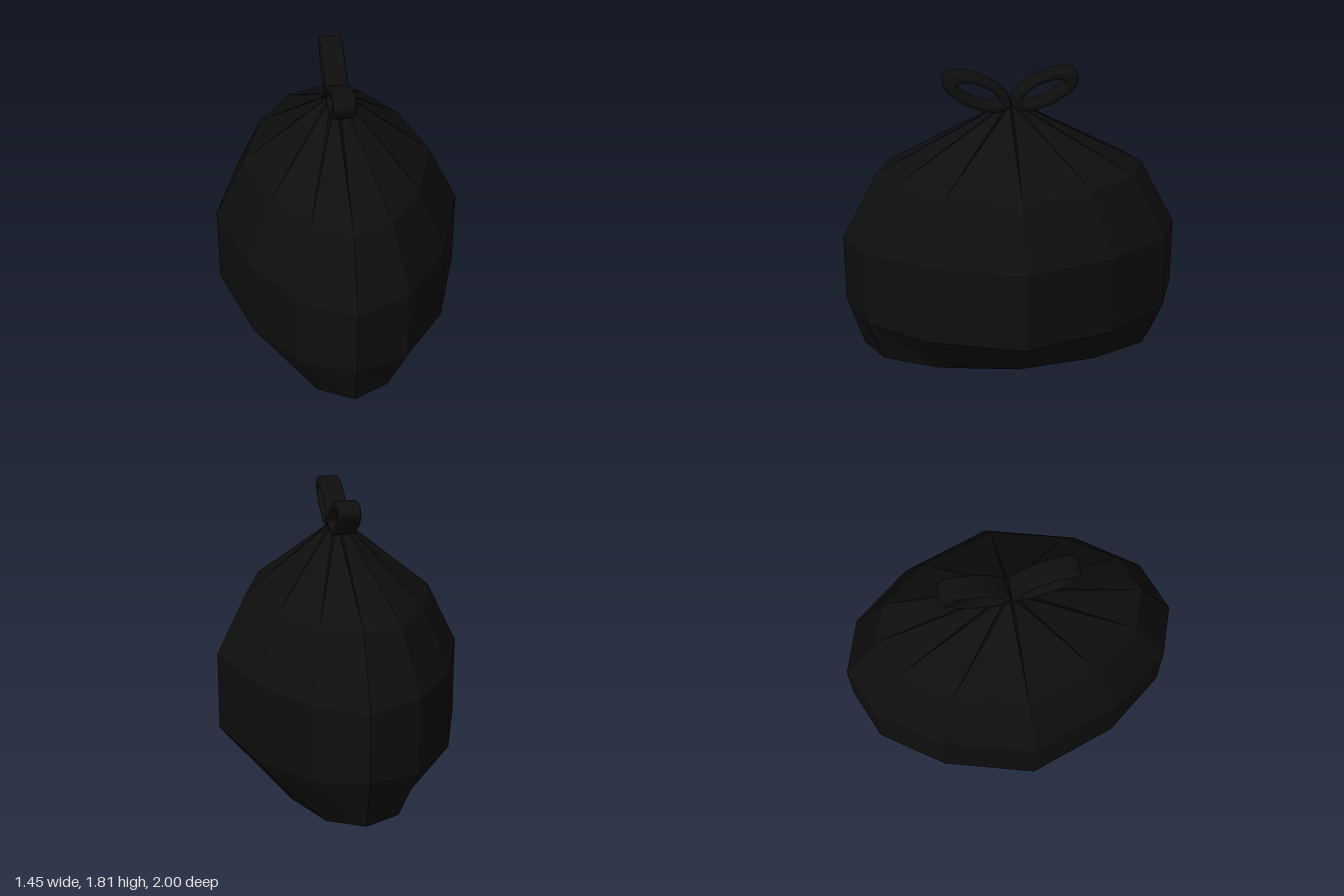
import * as THREE from 'three';

// One quarter of the twelve-sided plan, from the side (+x) to the front (+z)
const PLAN = [[0.725, 0], [0.56, 0.53], [0.3, 0.885], [0, 1]];

// Mirror a quarter of four points [x, y, z] into a closed ring of twelve
function mirrorRing(q) {
  const at = (i, sx, sz) => new THREE.Vector3(q[i][0] * sx, q[i][1], q[i][2] * sz);
  return [
    at(0, 1, 1), at(1, 1, 1), at(2, 1, 1), at(3, 1, 1),
    at(2, -1, 1), at(1, -1, 1), at(0, -1, 1), at(1, -1, -1),
    at(2, -1, -1), at(3, 1, -1), at(2, 1, -1), at(1, 1, -1),
  ];
}

// Every corner is tripled so a crease can open at the neck
const triple = (ring) => ring.flatMap((p) => [p, p, p]);

// Neck ring: each corner becomes a narrow inward fold
function neckRing() {
  const ring = [];
  for (let k = 0; k < 12; k++) {
    for (const [d, r] of [[-0.15, 0.066], [0, 0.04], [0.15, 0.066]]) {
      const a = (k * Math.PI) / 6 + d;
      ring.push(new THREE.Vector3(Math.cos(a) * r, 1.59, Math.sin(a) * r));
    }
  }
  return ring;
}

// Faceted skin through the rings, from bottom to top
function skin(rings) {
  const pos = [];
  const tri = (a, b, c) => {
    if (a.distanceTo(b) < 1e-6 || b.distanceTo(c) < 1e-6 || c.distanceTo(a) < 1e-6) return;
    for (const p of [a, b, c]) pos.push(p.x, p.y, p.z);
  };
  for (let r = 0; r + 1 < rings.length; r++) {
    const lo = rings[r], up = rings[r + 1], n = lo.length;
    for (let i = 0; i < n; i++) {
      const j = (i + 1) % n;
      tri(lo[i], up[i], up[j]);
      tri(lo[i], up[j], lo[j]);
    }
  }
  const geo = new THREE.BufferGeometry();
  geo.setAttribute('position', new THREE.Float32BufferAttribute(pos, 3));
  geo.computeVertexNormals();
  return geo;
}

// Tilted elliptical band with an open middle, lying in the yz plane
function loopGeometry() {
  const bevel = 0.02;
  const tilt = 0.42;
  const shape = new THREE.Shape();
  shape.absellipse(0.198, 1.685, 0.21 - bevel, 0.092 - bevel, 0, Math.PI * 2, false, tilt);
  const hole = new THREE.Path();
  hole.absellipse(0.188, 1.682, 0.135 + bevel, 0.053 + bevel * 0.6, 0, Math.PI * 2, true, tilt);
  shape.holes.push(hole);
  const geo = new THREE.ExtrudeGeometry(shape, {
    depth: 0.13 - 2 * bevel, bevelEnabled: true, bevelSize: bevel,
    bevelThickness: bevel, bevelSegments: 4, curveSegments: 28,
  });
  geo.translate(0, 0, -(0.13 - 2 * bevel) / 2);
  geo.rotateY(-Math.PI / 2);
  return geo;
}

export function createModel() {
  const group = new THREE.Group();
  const plastic = new THREE.MeshStandardMaterial({ color: 0x0e0e0e });
  plastic.name = 'black plastic';

  const add = (name, geo) => {
    const mesh = new THREE.Mesh(geo, plastic);
    mesh.name = name;
    group.add(mesh);
    return mesh;
  };

  // Sagging sack: keel, base, lower and upper belly, shoulder, folded neck
  const belly = (ys) => PLAN.map(([x, z], i) => [x, ys[i], z]);
  const keel = [[0, 0, 0], [0, 0, 0.44], [0, 0, 0.44], [0, 0, 0.44]];
  const base = [[0.43, 0.075, 0], [0.36, 0.08, 0.47], [0.21, 0.085, 0.79], [0, 0.085, 0.9]];
  const shoulder = PLAN.map(([x, z]) => [x * 0.755, 1.2, z * 0.79]);
  const rings = [
    keel, base, belly([0.36, 0.365, 0.38, 0.4]), belly([0.835, 0.84, 0.83, 0.8]), shoulder,
  ].map((q) => triple(mirrorRing(q)));
  const neck = neckRing();
  const tip = neck.map(() => new THREE.Vector3(0, 1.61, 0));
  add('sack', skin([...rings, neck, tip]));

  // Tied bow on top, one loop to the front and one to the back
  add('frontLoop', loopGeometry());
  add('backLoop', loopGeometry()).rotation.y = Math.PI;

  return group;
}
